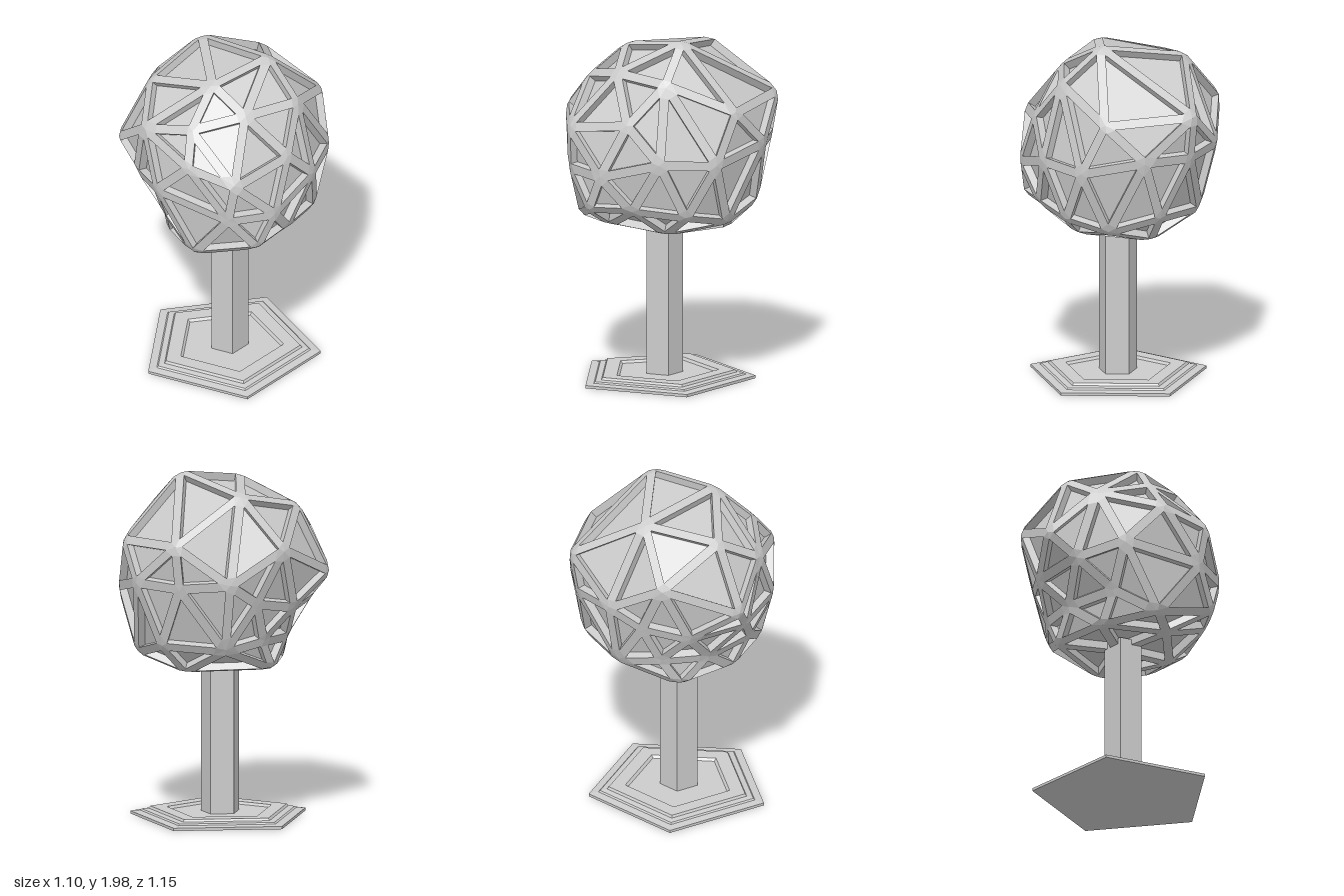
import * as THREE from 'three';
import { ConvexGeometry } from 'three/addons/geometries/ConvexGeometry.js';

// Lattice joints of the crown: x, y, z
const JOINTS = [
  // top
  .18, 1.98, -.13, -.32, 1.90, -.12, -.33, 1.81, .30, .09, 1.93, .24, -.25, 1.65, -.55,
  .31, 1.80, .21, .12, 1.74, .45, .41, 1.78, -.12, .26, 1.62, -.49, -.18, 1.65, .52,
  // middle
  .51, 1.55, .07, .45, 1.50, .45, .195, 1.57, .56, -.03, 1.33, .58, -.455, 1.42, .44,
  -.29, 1.27, .45, .41, 1.26, .46, .55, 1.25, .22, .52, 1.34, -.13, .38, 1.33, -.42,
  .05, 1.41, -.58, -.24, 1.40, -.51, -.45, 1.42, -.31, -.56, 1.61, 0, -.46, 1.30, -.12,
  -.47, 1.25, .15,
  // bottom
  .50, 1.04, .31, .49, 1.05, .05, .42, 1.02, -.25, .17, .94, .49, -.08, 1.08, .45,
  -.31, 1.06, .24, -.40, 1.07, -.02, -.36, 1.03, -.27, -.065, 1.05, -.49, .22, .97, -.42,
  .30, .89, -.08, .24, .91, .28, -.065, .88, -.31, -.36, .89, .09, -.135, .90, .36,
  0, .90, .02,
];
const CENTRE = new THREE.Vector3(0, 1.42, 0);
const HALF_BAR = 0.027;
const RECESS = 0.045;

const material = new THREE.MeshStandardMaterial({ color: 0xcccccc, flatShading: true });

function meshFromTriangles(name, points) {
  const geometry = new THREE.BufferGeometry().setFromPoints(points);
  geometry.computeVertexNormals();
  const mesh = new THREE.Mesh(geometry, material);
  mesh.name = name;
  return mesh;
}

// Connect the joints by the hull of their directions from the centre
function triangulate(joints) {
  const directions = joints.map((p) => p.clone().sub(CENTRE).normalize());
  const hull = new ConvexGeometry(directions).getAttribute('position');
  const nearest = (v) => {
    let best = 0;
    directions.forEach((d, i) => { if (d.dot(v) > directions[best].dot(v)) best = i; });
    return best;
  };
  const triangles = [];
  for (let i = 0; i < hull.count; i += 3) {
    triangles.push([0, 1, 2].map((k) => nearest(new THREE.Vector3().fromBufferAttribute(hull, i + k))));
  }
  return triangles;
}

// Corner of a triangle moved in so it lies HALF_BAR from both its edges
function insetCorner(p, a, b) {
  const u = a.clone().sub(p).normalize();
  const v = b.clone().sub(p).normalize();
  const sine = Math.max(u.clone().cross(v).length(), 0.35);
  return p.clone().addScaledVector(u.add(v), HALF_BAR / sine);
}

function createCrown() {
  const joints = [];
  for (let i = 0; i < JOINTS.length; i += 3) {
    const p = new THREE.Vector3(JOINTS[i], JOINTS[i + 1], JOINTS[i + 2]);
    joints.push(p.sub(CENTRE).multiplyScalar(1.01).add(CENTRE));
  }
  const triangles = triangulate(joints);
  const corners = triangles.map((t) => t.map((v, k) =>
    insetCorner(joints[v], joints[t[(k + 1) % 3]], joints[t[(k + 2) % 3]])));

  // Inset corner of the triangle that holds the directed edge, at its start
  const edgeMap = new Map();
  triangles.forEach((t, i) => t.forEach((v, k) => edgeMap.set(v + '-' + t[(k + 1) % 3], [i, k])));

  const bars = [], hubs = [], panels = [];
  const quad = (list, a, b, c, d) => list.push(a, b, c, a, c, d);

  // Middle of the flattened cap at every joint
  const caps = joints.map((p, v) => {
    const sum = new THREE.Vector3();
    let count = 0;
    triangles.forEach((t, i) => {
      const k = t.indexOf(v);
      if (k >= 0) { sum.add(corners[i][k]); count++; }
    });
    return sum.divideScalar(Math.max(count, 1)).lerp(p, 0.4);
  });

  triangles.forEach((t, i) => {
    const c = corners[i];
    const normal = new THREE.Triangle(...c).getNormal(new THREE.Vector3());
    const low = c.map((p) => p.clone().addScaledVector(normal, -RECESS));
    panels.push(...low);
    for (let k = 0; k < 3; k++) {
      const n = (k + 1) % 3;
      const a = t[k], b = t[n], last = t[(k + 2) % 3];
      // bar side down to the panel
      quad(bars, c[k], c[n], low[n], low[k]);
      // bar top shared with the neighbouring triangle
      const other = edgeMap.get(b + '-' + a);
      if (other && a < b) {
        const [j, m] = other;
        quad(bars, corners[j][(m + 1) % 3], corners[j][m], c[n], c[k]);
      }
      // one slice of the joint cap
      const next = edgeMap.get(a + '-' + last);
      if (next) hubs.push(caps[a], c[k], corners[next[0]][next[1]]);
    }
  });

  const crown = new THREE.Group();
  crown.name = 'crown';
  crown.add(meshFromTriangles('latticeBars', bars),
    meshFromTriangles('latticeJoints', hubs),
    meshFromTriangles('recessedPanels', panels));
  return crown;
}

export function createModel() {
  const model = new THREE.Group();
  model.name = 'latticeTree';

  // Five-sided trunk
  const trunk = new THREE.Mesh(
    new THREE.CylinderGeometry(0.112, 0.112, 0.9, 5, 1, false, -Math.PI / 2), material);
  trunk.name = 'trunk';
  trunk.position.set(0.03, 0.48, 0.04);

  // Stepped five-sided base with a shallow recess round the trunk
  const profile = [[0, 0], [.52, 0], [.52, .016], [.465, .022], [.455, .03], [.415, .035],
    [.405, .048], [.31, .048], [.295, .034], [0, .034]].map(([r, y]) => new THREE.Vector2(r, y));
  const base = new THREE.Mesh(new THREE.LatheGeometry(profile, 5, -Math.PI / 2), material);
  base.name = 'base';
  base.position.set(0.03, 0, 0.04);

  model.add(createCrown(), trunk, base);
  return model;
}
